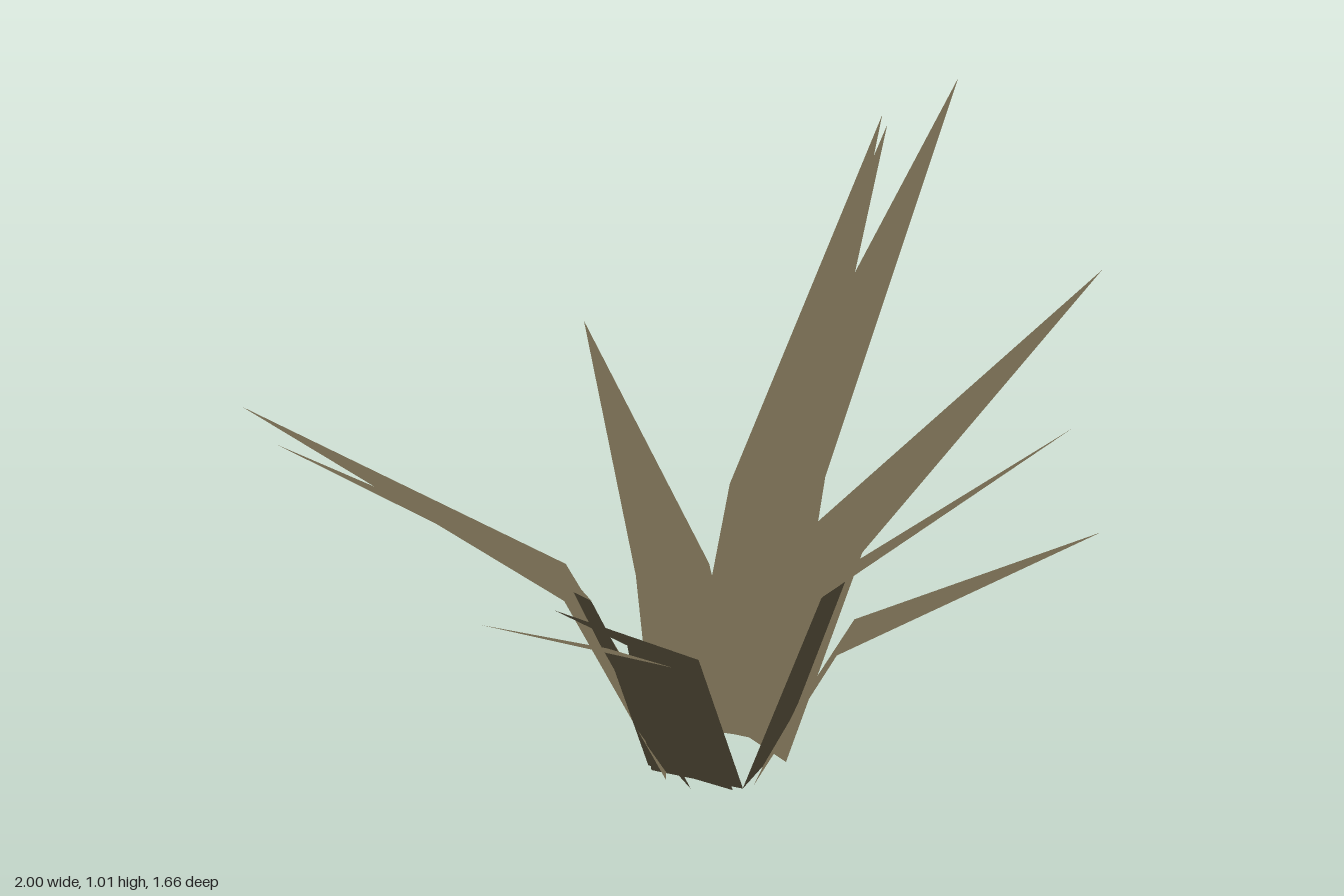
import * as THREE from 'three';

// Tuft of thin, tapering blades that lean outward from a small ring
const CENTRE = new THREE.Vector2(0.02, 0.18); // x, z of the ring
const RING = 0.106;                           // ring radius and half width of a blade at the ground
const THICKNESS = 0.002;

// Tip of each blade: x, y, z
const TIPS = [
  [0.035, 0.61, -0.69],
  [0.765, 0.90, -0.835],
  [0.76, 0.90, -0.79],
  [0.905, 1.01, -0.745],
  [0.995, 0.86, -0.095],
  [0.725, 0.65, 0.64],
  [0.62, 0.975, 0.745],
  [-0.585, 0.805, 0.83],
  [-0.735, 0.77, 0.78],
  [-1.00, 0.98, 0.24],
  [-0.925, 0.84, -0.185],
];

// One blade: a quad up to the bend at half height, then a triangle to the tip
function bladeGeometry([x, y, z]) {
  const out = new THREE.Vector2(x, z).sub(CENTRE);
  const reach = out.length();
  out.normalize();
  const point = (r, h, side) => [
    CENTRE.x + out.x * r - out.y * side, h, CENTRE.y + out.y * r + out.x * side,
  ];
  const bend = RING + 0.24 * (reach - RING);
  const underside = [
    point(RING, 0, -RING), point(RING, 0, RING),
    point(bend, y / 2, -RING * 0.78), point(bend, y / 2, RING * 0.78),
    [x, y, z],
  ];
  const topSide = underside.map(([px, py, pz]) => [px, py + THICKNESS, pz]);
  const corners = [...topSide, ...underside];
  const geometry = new THREE.BufferGeometry();
  geometry.setAttribute('position', new THREE.Float32BufferAttribute(corners.flat(), 3));
  // Upright normals give even foliage shading
  const up = corners.flatMap(() => [0, 1, 0]);
  geometry.setAttribute('normal', new THREE.Float32BufferAttribute(up, 3));
  // Top faces look up and inward, underside faces down and outward
  const topFaces = [0, 1, 2, 1, 3, 2, 2, 3, 4];
  const underFaces = topFaces.map((i) => i + 5).reverse();
  geometry.setIndex([...topFaces, ...underFaces]);
  return geometry;
}

export function createModel() {
  const group = new THREE.Group();
  group.name = 'grassTuft';
  const dryGrass = new THREE.MeshStandardMaterial({ color: 0x71674e });
  dryGrass.name = 'dryGrass';
  TIPS.forEach((tip, i) => {
    const blade = new THREE.Mesh(bladeGeometry(tip), dryGrass);
    blade.name = `blade${i + 1}`;
    group.add(blade);
  });
  return group;
}
